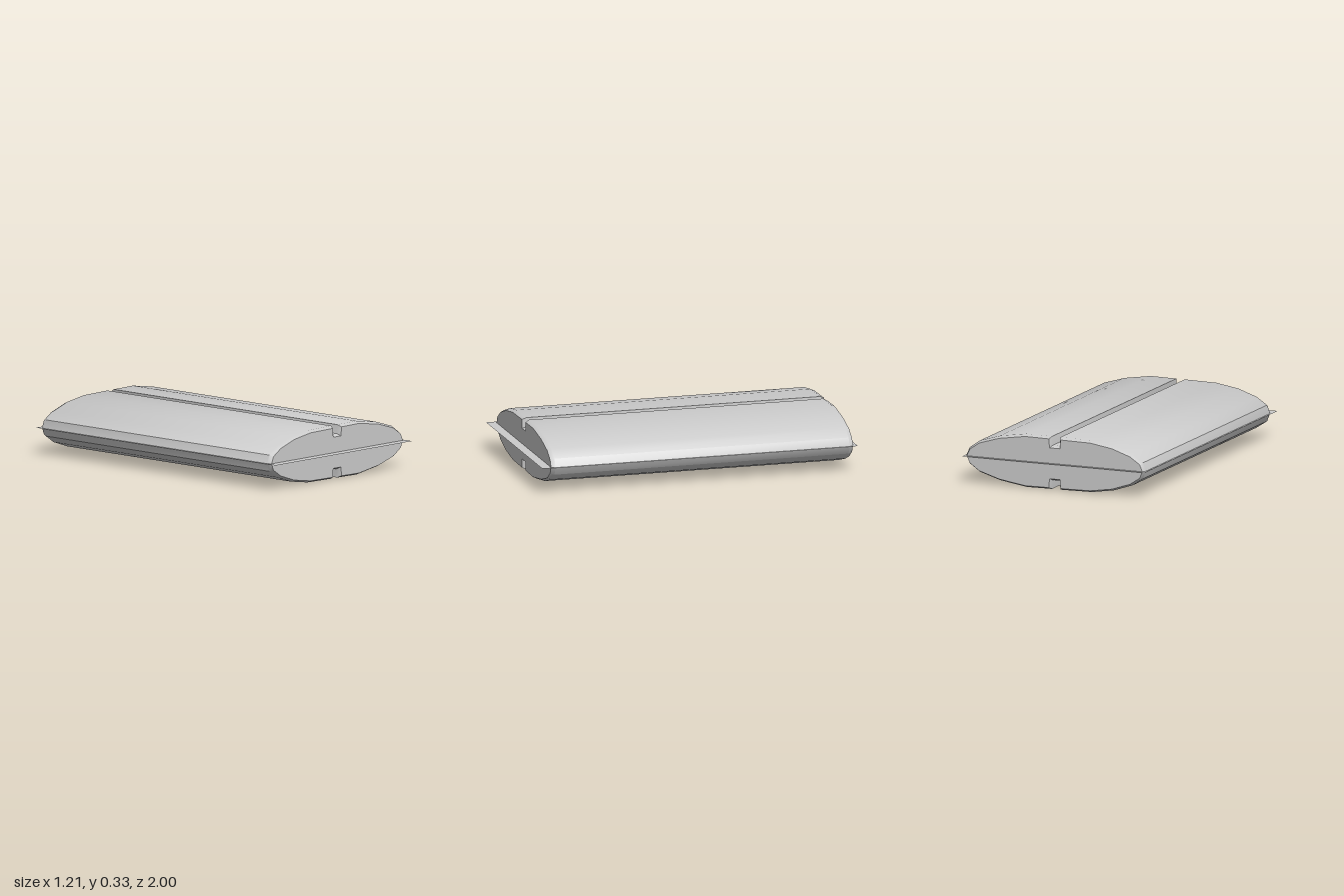
import * as THREE from 'three';
import { toCreasedNormals } from 'three/addons/utils/BufferGeometryUtils.js';

const MID = 0.167; // height of the centre plane

export function createModel() {
  const group = new THREE.Group();
  const material = new THREE.MeshStandardMaterial({ color: 0xcccccc, side: THREE.DoubleSide });

  // Upper half of the lens section, as [x, height above the centre plane]
  const upper = [
    [0.6, 0], [0.577, 0.05], [0.51, 0.097], [0.375, 0.138], [0.2, 0.165],
    [0.031, 0.163], [0.026, 0.108], [-0.02, 0.108], [-0.025, 0.163],
    [-0.235, 0.16], [-0.38, 0.137], [-0.502, 0.096], [-0.572, 0.05], [-0.592, 0],
  ];
  // The lower half mirrors the upper one, without the two shared tips
  const lower = upper.slice(1, -1).reverse().map(([x, h]) => [x, -h]);
  const outline = [...upper, ...lower].map(([x, h]) => new THREE.Vector2(x, h + MID));

  // Grooved body with chamfered ends
  const back = -0.973, front = 0.94, chamfer = 0.025, inset = 0.012;
  const bodyGeometry = new THREE.ExtrudeGeometry(new THREE.Shape(outline), {
    depth: front - back - 2 * chamfer,
    bevelEnabled: true,
    bevelThickness: chamfer,
    bevelSize: inset,
    bevelOffset: 0,
    bevelSegments: 1,
    ...{ bevelOffset: -inset },
  });
  bodyGeometry.translate(0, 0, back + chamfer);
  const body = new THREE.Mesh(toCreasedNormals(bodyGeometry, 0.6), material);
  body.name = 'groovedBody';
  group.add(body);

  // Thin sheet through the middle, reaching past both ends
  const sheet = new THREE.Mesh(new THREE.PlaneGeometry(1.21, 2).rotateX(-Math.PI / 2), material);
  sheet.name = 'middleSheet';
  sheet.position.y = MID;
  group.add(sheet);

  return group;
}
